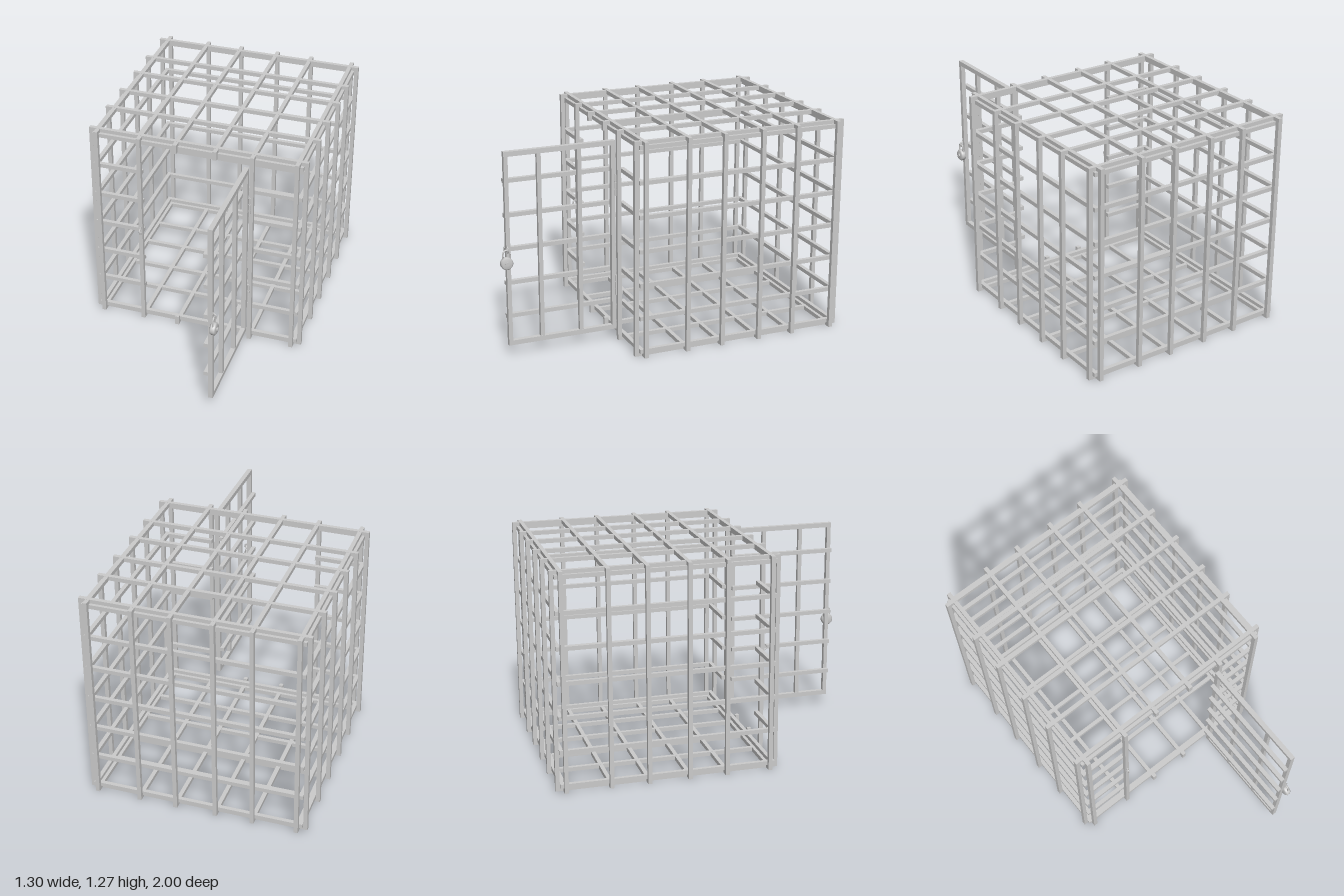
import * as THREE from 'three';

const T = 0.024;                 // bar thickness
const H = 1.27;                  // cage height
const HALF = 0.652;              // half width and half depth of the cage
const ZC = -0.348;               // cage centre in z
const OPEN = 0.338;              // door opening half width
const GRID = [-0.597, -0.338, -0.119, 0.119, 0.338, 0.597];
const ROWS = [0.235, 0.435, 0.635, 0.835, 1.035];
const mat = new THREE.MeshStandardMaterial({ color: 0xcccccc });

export function createModel() {
  const model = new THREE.Group();
  model.name = 'cage';

  const group = (name, parent = model) => {
    const g = new THREE.Group();
    g.name = name;
    parent.add(g);
    return g;
  };
  const add = (parent, name, geo, x, y, z) => {
    const m = new THREE.Mesh(geo, mat);
    m.name = name;
    m.position.set(x, y, z);
    parent.add(m);
    return m;
  };
  // Box bar given by its minimum and maximum corners
  const bar = (parent, name, x0, y0, z0, x1, y1, z1) =>
    add(parent, name, new THREE.BoxGeometry(x1 - x0, y1 - y0, z1 - z0),
      (x0 + x1) / 2, (y0 + y1) / 2, (z0 + z1) / 2);
  const h = T / 2;

  // Hoops across the cage: side uprights with roof and floor bars
  const crossHoops = group('crossHoops');
  for (const g of GRID) {
    const z = ZC + g;
    for (const s of [-1, 1]) {
      const x = s * (HALF - h);
      bar(crossHoops, 'sideUpright', x - h, 0, z - h, x + h, H, z + h);
    }
    for (const y of [0, H - T])
      bar(crossHoops, y ? 'roofCrossBar' : 'floorCrossBar', -HALF + T, y, z - h, HALF - T, y + T, z + h);
  }

  // Hoops along the cage: front and back uprights with roof and floor bars
  const longHoops = group('longHoops');
  const e = 0.001;               // keeps crossing bars from sharing a face
  for (const x of GRID) {
    const zb = ZC - HALF, zf = ZC + HALF;
    bar(longHoops, 'backUpright', x - h, e, zb, x + h, H - e, zb + T);
    if (Math.abs(x) < 0.2) {     // short stubs above and below the doorway
      bar(longHoops, 'doorwayStub', x - h, e, zf - T, x + h, 0.058, zf);
      bar(longHoops, 'doorwayStub', x - h, 1.215, zf - T, x + h, H - e, zf);
    } else {
      bar(longHoops, 'frontUpright', x - h, e, zf - T, x + h, H - e, zf);
    }
    for (const y of [e, H - T - e])
      bar(longHoops, y > 1 ? 'roofLongBar' : 'floorLongBar', x - h, y, zb + T, x + h, y + T, zf - T);
  }

  // Level rings inside the uprights, broken at the doorway
  const rings = group('levelRings');
  const R = HALF - T;
  for (const y of [0.034, ...ROWS, H - 0.034]) {
    const y0 = y - h, y1 = y + h, zb = ZC - R, zf = ZC + R;
    bar(rings, 'backRail', -R, y0, zb, R, y1, zb + T);
    for (const s of [-1, 1]) {
      const x = s * (R - h);
      bar(rings, 'sideRail', x - h, y0, zb + T, x + h, y1, zf - T);
    }
    if (ROWS.includes(y)) {
      bar(rings, 'frontRail', -R, y0, zf - T, -OPEN + h, y1, zf);
      bar(rings, 'frontRail', OPEN - h, y0, zf - T, R, y1, zf);
    } else {
      bar(rings, 'frontRail', -R, y0, zf - T, R, y1, zf);
    }
  }

  // Door standing open at a right angle to the front
  const door = group('door');
  const dx0 = 0.296, dx1 = 0.324, dz0 = 0.306, dz1 = 0.96, dy0 = 0.066, dy1 = 1.208;
  for (const y of [dy0, dy1 - 0.028])
    bar(door, 'doorFrameRail', dx0, y, dz0, dx1, y + 0.028, dz1);
  for (const z of [dz0, dz1 - T])
    bar(door, 'doorFrameStile', dx0, dy0 + 0.028, z, dx1, dy1 - 0.028, z + T);
  for (const z of [0.52, 0.757])
    bar(door, 'doorUpright', dx0 + 0.002, dy0 + 0.028, z - h, dx1 - 0.002, dy1 - 0.028, z + h);
  for (const y of ROWS)
    bar(door, 'doorRail', 0.271, y - h, dz0, dx0, y + h, dz1);

  // Hinges: a pin with knuckles
  for (const y of [0.343, 0.947]) {
    const hinge = group('hinge');
    add(hinge, 'hingePin', new THREE.CylinderGeometry(0.005, 0.005, 0.126, 12), 0.331, y, 0.307);
    for (const d of [-0.042, 0, 0.042])
      add(hinge, 'hingeKnuckle', new THREE.CylinderGeometry(0.007, 0.007, 0.036, 12), 0.331, y + d, 0.307);
  }

  // Staples: one on the cage post, one on the door edge
  const staple = (name, x, y, z, turn) => {
    const g = group(name);
    const m = add(g, 'stapleLoop', new THREE.TorusGeometry(0.018, 0.004, 8, 20, Math.PI), 0, 0, 0);
    m.rotation.z = -Math.PI / 2;
    g.position.set(x, y, z);
    g.rotation.y = turn;
    for (const s of [-1, 1])
      add(g, 'stapleFoot', new THREE.BoxGeometry(0.006, 0.014, 0.01), 0, s * 0.019, 0);
  };
  staple('postStaple', -OPEN, 0.645, 0.306, -Math.PI / 2);
  staple('doorStaple', 0.324, 0.645, 0.955, 0);

  // Padlock: round body, shackle and keyhole boss
  const lock = group('padlock');
  lock.position.set(0.332, 0.568, 0.963);
  const body = add(lock, 'padlockBody', new THREE.LatheGeometry([
    [0, -0.017], [0.029, -0.017], [0.036, -0.01], [0.036, 0.01], [0.029, 0.017], [0, 0.017],
  ].map(p => new THREE.Vector2(...p)), 28), 0, 0, 0);
  body.rotation.z = -Math.PI / 2;
  const boss = add(lock, 'keyholeBoss', new THREE.CylinderGeometry(0.011, 0.011, 0.008, 20), 0.02, 0, 0);
  boss.rotation.z = Math.PI / 2;
  const arch = [[-0.02, 0.025], [-0.02, 0.055], [-0.014, 0.07], [0, 0.077], [0.014, 0.07], [0.02, 0.055], [0.02, 0.025]];
  const curve = new THREE.CatmullRomCurve3(arch.map(([z, y]) => new THREE.Vector3(0, y, z)));
  add(lock, 'shackle', new THREE.TubeGeometry(curve, 32, 0.005, 8), 0, 0, 0);

  return model;
}
